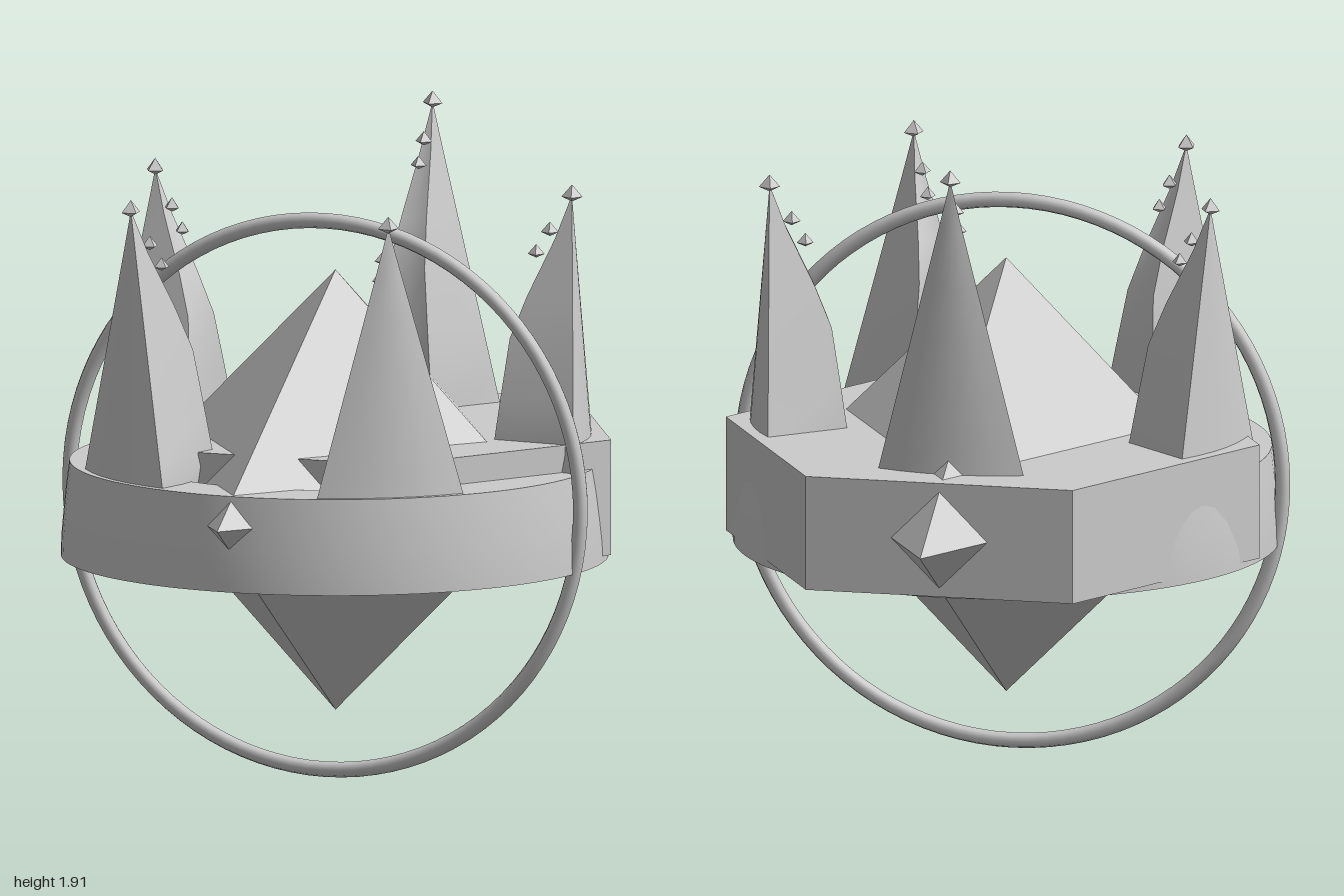
import * as THREE from 'three';
import { toCreasedNormals } from 'three/addons/utils/BufferGeometryUtils.js';

export function createModel() {
  const model = new THREE.Group();
  const stone = new THREE.MeshStandardMaterial({ color: 0xcccccc });
  stone.name = 'pale grey';
  const add = (name, geometry, parent = model) => {
    const mesh = new THREE.Mesh(geometry, stone);
    mesh.name = name;
    parent.add(mesh);
    return mesh;
  };

  // Large stretched crystal through the middle, longer towards the back
  const crystal = new THREE.OctahedronGeometry(1);
  const p = crystal.attributes.position;
  for (let i = 0; i < p.count; i++) {
    const z = p.getZ(i);
    p.setXYZ(i, p.getX(i) * 0.65, 0.84 + p.getY(i) * 0.65, 0.115 + z * (z > 0 ? 0.885 : 1.115));
  }
  crystal.computeVertexNormals();
  add('centralCrystal', crystal);

  // Round band with a softly bulging wall
  const profile = [
    [0.6, 0.69], [0.63, 0.668], [0.67, 0.655], [0.72, 0.65], [0.8, 0.65], [0.798, 0.71],
    [0.792, 0.78], [0.784, 0.86], [0.775, 0.93], [0.6, 0.93], [0.6, 0.69],
  ].map(([x, y]) => new THREE.Vector2(x, y));
  add('band', toCreasedNormals(new THREE.LatheGeometry(profile, 96), 0.7)).position.z = 0.12;

  // Six-sided block, set back inside the band
  const block = new THREE.CylinderGeometry(0.8, 0.8, 0.34, 6);
  block.rotateY(Math.PI / 6);
  add('hexagonBlock', toCreasedNormals(block, 0.3)).position.set(0, 0.84, -0.06);

  // Upright hoop
  add('hoop', new THREE.TorusGeometry(0.81, 0.023, 8, 96)).position.set(0, 0.835, 0.193);

  // Inner edge of a spike: height fraction, distance from the band's axis
  const inner = [[0, 0.53], [0.13, 0.475], [0.3, 0.495], [0.5, 0.52], [0.65, 0.57], [0.85, 0.65], [1, 0.7]];

  // Tapering spike from stacked cross-sections: bowed outside, folded inside
  function spikeGeometry(y0, height, tipRadius) {
    const positions = [], index = [], n = 10;
    for (const [t, r] of inner) {
      const k = Math.max(1 - t, 0.004);
      const out = THREE.MathUtils.lerp(0.72, tipRadius, t);
      const rIn = Math.min(r + (tipRadius - 0.7) * t, out - 0.002);
      const y = y0 + height * t;
      for (let i = 0; i < 7; i++) {
        const u = i / 3 - 1;
        positions.push(u * 0.23 * k, y, out + 0.04 * k * (1 - u * u));
      }
      for (const u of [1, 0, -1]) positions.push(u * 0.115 * k, y, rIn + (u ? 0 : 0.02 * k));
    }
    for (let j = 0; j < inner.length - 1; j++) {
      for (let i = 0; i < n; i++) {
        const a = j * n + i, b = j * n + (i + 1) % n;
        index.push(a, b, b + n, a, b + n, a + n);
      }
    }
    const g = new THREE.BufferGeometry();
    g.setAttribute('position', new THREE.Float32BufferAttribute(positions, 3));
    g.setIndex(index);
    return toCreasedNormals(g, 0.6);
  }

  // Small pointed gem with a shallow underside
  const gem = new THREE.OctahedronGeometry(0.031);
  const gp = gem.attributes.position;
  for (let i = 0; i < gp.count; i++) gp.setY(i, gp.getY(i) * (gp.getY(i) > 0 ? 1.15 : 0.45));
  gem.computeVertexNormals();

  // Five spikes around the band, the back one tallest
  for (let s = 0; s < 5; s++) {
    const back = s === 2;
    const y0 = back ? 0.96 : 0.89, top = back ? 1.88 : 1.715, tip = back ? 0.73 : 0.695;
    const spike = new THREE.Group();
    spike.name = 'spike';
    spike.position.z = 0.12;
    spike.rotation.y = (36 + 72 * s) * Math.PI / 180;
    add('spikeBody', spikeGeometry(y0, top - y0, tip), spike);
    // Gems at the tip and down the inner ridge
    [[0, 0, 1], [0.065, 0.105, 0.85], [0.105, 0.17, 0.8]].forEach(([dr, dy, size]) => {
      const g = add('spikeGem', gem, spike);
      g.position.set(0, top - dy, tip - dr);
      g.scale.setScalar(size);
    });
    model.add(spike);
  }
  return model;
}
